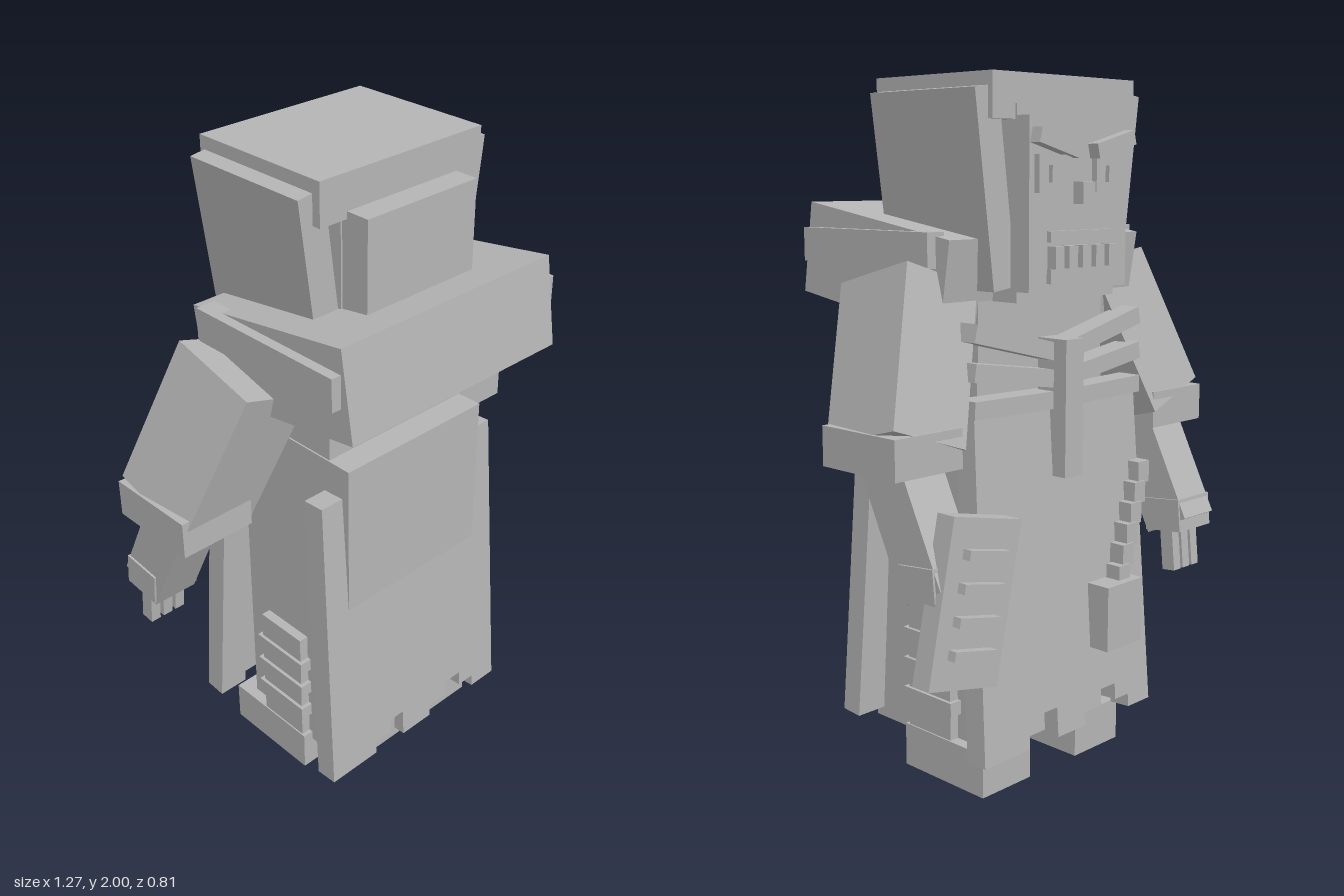
import * as THREE from 'three';

export function createModel() {
  const root = new THREE.Group();
  root.name = 'robedFigure';
  const stone = new THREE.MeshStandardMaterial({ color: 0xb4b4b4 });
  stone.name = 'stoneGrey';

  // Box by size, centre and rotation
  const box = (name, size, pos, rot = [0, 0, 0], parent = root) => {
    const m = new THREE.Mesh(new THREE.BoxGeometry(...size), stone);
    m.name = name;
    m.position.set(...pos);
    m.rotation.set(...rot);
    parent.add(m);
    return m;
  };
  // Axis-aligned box by its limits
  const span = (name, x0, x1, y0, y1, z0, z1) =>
    box(name, [x1 - x0, y1 - y0, z1 - z0], [(x0 + x1) / 2, (y0 + y1) / 2, (z0 + z1) / 2]);

  // Body
  span('lowerBody', -0.26, 0.26, 0.1, 1.2, -0.18, 0.26);
  span('upperBody', -0.255, 0.255, 1.2, 1.45, -0.18, 0.18);

  // Flared robe panels with ragged hems
  const hem = [[-0.36, 0], [-0.18, 0], [-0.18, 0.04], [-0.115, 0.04], [-0.115, 0.09], [-0.06, 0.09],
    [-0.06, 0], [0.06, 0], [0.06, 0.04], [0.135, 0.04], [0.135, 0.09], [0.2, 0.09], [0.2, 0.04],
    [0.26, 0.04], [0.26, 0], [0.36, 0]];
  const outline = new THREE.Shape([...hem, [0.335, 0.97], [-0.335, 0.97]]
    .map(([x, y]) => new THREE.Vector2(x, y)));
  for (const back of [true, false]) {
    const panel = new THREE.Mesh(
      new THREE.ExtrudeGeometry(outline, { depth: 0.07, bevelEnabled: false }), stone);
    panel.name = back ? 'backRobePanel' : 'frontRobePanel';
    panel.position.set(0, 0.13, back ? 0.23 : -0.24);
    panel.rotation.set(back ? -0.067 : 0.067, back ? 0 : Math.PI, 0);
    root.add(panel);
  }

  // Head, hood and face
  span('head', -0.2, 0.2, 1.4, 1.92, -0.27, 0.17);
  span('hoodTop', -0.285, 0.285, 1.88, 2, -0.265, 0.188);
  span('hoodBack', -0.195, 0.195, 1.4, 1.9, 0.16, 0.26);
  span('face', -0.2, 0.2, 1.43, 1.89, -0.315, -0.26);
  span('nose', -0.025, 0.025, 1.66, 1.72, -0.35, -0.31);
  span('upperLip', -0.13, 0.13, 1.56, 1.59, -0.33, -0.31);
  span('jaw', -0.13, 0.13, 1.45, 1.49, -0.33, -0.31);
  for (let i = 0; i < 5; i++) box('tooth', [0.035, 0.06, 0.03], [-0.11 + i * 0.055, 1.52, -0.33]);

  // Collar and front ornament
  box('collar', [0.77, 0.26, 0.58], [0, 1.488, 0.1], [-0.157, 0, 0]);
  span('breastBar', -0.037, 0.037, 0.9, 1.29, -0.305, -0.2);

  for (const s of [-1, 1]) {
    box('hoodFlap', [0.085, 0.53, 0.41], [s * 0.255, 1.7, -0.043], [0, 0, -s * 0.13]);
    box('eyebrow', [0.16, 0.04, 0.04], [s * 0.115, 1.82, -0.33], [0, 0, s * 0.25]);
    box('eyeSocket', [0.13, 0.1, 0.025], [s * 0.115, 1.74, -0.32]);
    box('eye', [0.055, 0.045, 0.04], [s * 0.115, 1.74, -0.325]);
    box('collarTrim', [0.06, 0.095, 0.52], [s * 0.385, 1.543, 0.105]);

    // Chest straps
    [[1.29, 0.24], [1.2, 0.15], [1.12, 0.02]].forEach(([y, a]) =>
      box('chestStrap', [0.33, 0.05, 0.075], [s * 0.18, y, -0.222], [0, 0, s * a]));

    // Arms
    box('sleeve', [0.245, 0.45, 0.28], [s * 0.44, 1.24, -0.08], [0.26, 0, s * 0.34]);
    box('cuff', [0.235, 0.11, 0.288], [s * 0.52, 1.035, -0.127]);
    box('forearm', [0.142, 0.42, 0.155], [s * 0.51, 0.86, -0.21], [0.46, 0, 0]);
    box('hand', [0.155, 0.1, 0.13], [s * 0.51, 0.705, -0.29], [0.1, 0, 0]);
    for (const x of [0.46, 0.505, 0.55])
      box('finger', [0.033, 0.14, 0.045], [s * x, 0.6, -0.305], [0.1, 0, 0]);

    // Legs with shin bands
    box('foot', [0.195, 0.13, 0.325], [s * 0.197, 0.065, -0.072]);
    box('shin', [0.18, 0.39, 0.175], [s * 0.2, 0.32, -0.01]);
    for (let i = 0; i < 3; i++) box('shinBand', [0.2, 0.042, 0.2], [s * 0.2, 0.228 + i * 0.092, -0.01]);
  }

  // Book held on the left
  const book = new THREE.Group();
  book.name = 'book';
  book.position.set(0.463, 0.65, -0.35);
  book.rotation.z = 0.21;
  root.add(book);
  box('bookCover', [0.25, 0.45, 0.062], [0, 0, 0], [0, 0, 0], book);
  for (let i = 0; i < 4; i++)
    box('bookRidge', [0.15, 0.027, 0.04], [0, -0.13 + i * 0.087, -0.038], [0, 0, 0], book);

  // Pouch hanging from a chain
  span('pouch', -0.25, -0.095, 0.365, 0.56, -0.36, -0.25);
  for (let i = 0; i < 6; i++)
    box('chainLink', [0.05, 0.065, 0.05], [-0.325 + i * 0.025, 0.86 - i * 0.058, -0.275 - i * 0.007]);

  return root;
}
